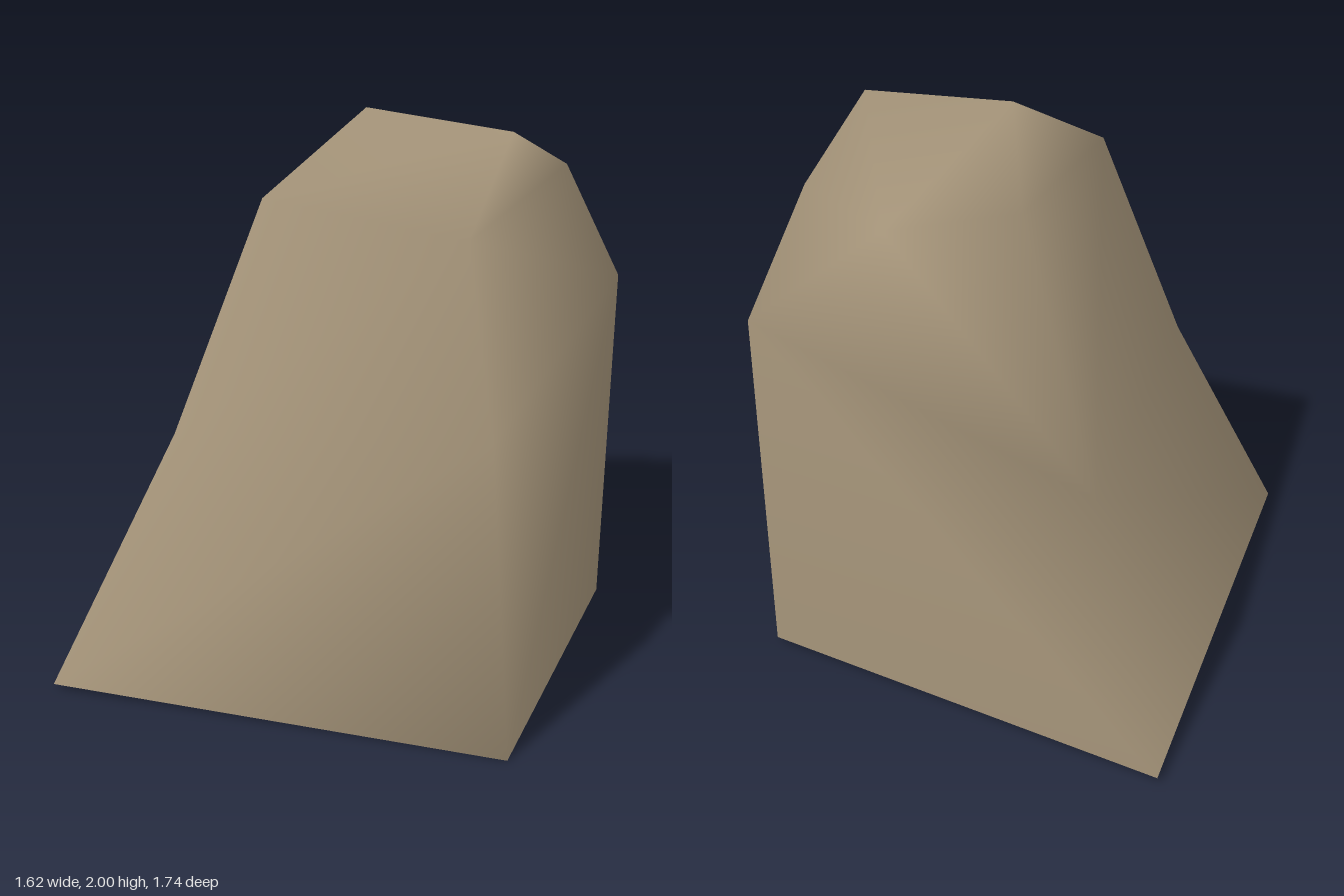
import * as THREE from 'three';

export function createModel() {
  const group = new THREE.Group();
  group.name = 'rock';

  const stone = new THREE.MeshStandardMaterial({ color: 0xa6957a, side: THREE.DoubleSide });
  stone.name = 'tan stone';

  // Corners of the boulder, ring by ring, counter-clockwise from the front right
  const points = [
    // open base (0-3)
    [-0.81, 0.02, 0.87], [0.81, 0, 0.6], [0.72, 0.02, -0.62], [-0.8, 0.03, -0.87],
    // waist (4-7)
    [-0.46, 0.93, 0.55], [0.7, 1.1, 0.53], [0.75, 1.34, -0.57], [-0.52, 1.01, -0.73],
    // shoulder (8-12)
    [-0.2, 1.75, 0.36], [0.55, 1.71, 0.4], [0.6, 1.78, -0.38], [0.23, 1.78, -0.61], [-0.17, 1.82, -0.43],
    // ridge (13-14)
    [0.01, 2, 0], [0.54, 1.97, 0],
  ];

  // Facets, each fanned from its first corner
  const facets = [
    [0, 1, 5, 4], [1, 2, 6, 5], [3, 7, 6, 2], [0, 4, 7, 3], // lower walls
    [4, 5, 9, 8], [6, 10, 9, 5], [6, 7, 11], [7, 12, 11], [6, 11, 10], [7, 4, 8, 12], // upper walls
    [8, 9, 14, 13], [9, 10, 14], [10, 11, 14], [11, 13, 14], [11, 12, 13], [12, 8, 13], // crown
  ];
  const index = [];
  for (const f of facets) {
    for (let i = 1; i < f.length - 1; i++) index.push(f[0], f[i], f[i + 1]);
  }

  // Shared corners give smooth normals over the whole stone
  const geometry = new THREE.BufferGeometry();
  geometry.setAttribute('position', new THREE.Float32BufferAttribute(points.flat(), 3));
  geometry.setIndex(index);
  geometry.computeVertexNormals();

  const boulder = new THREE.Mesh(geometry, stone);
  boulder.name = 'boulder';
  group.add(boulder);
  return group;
}
